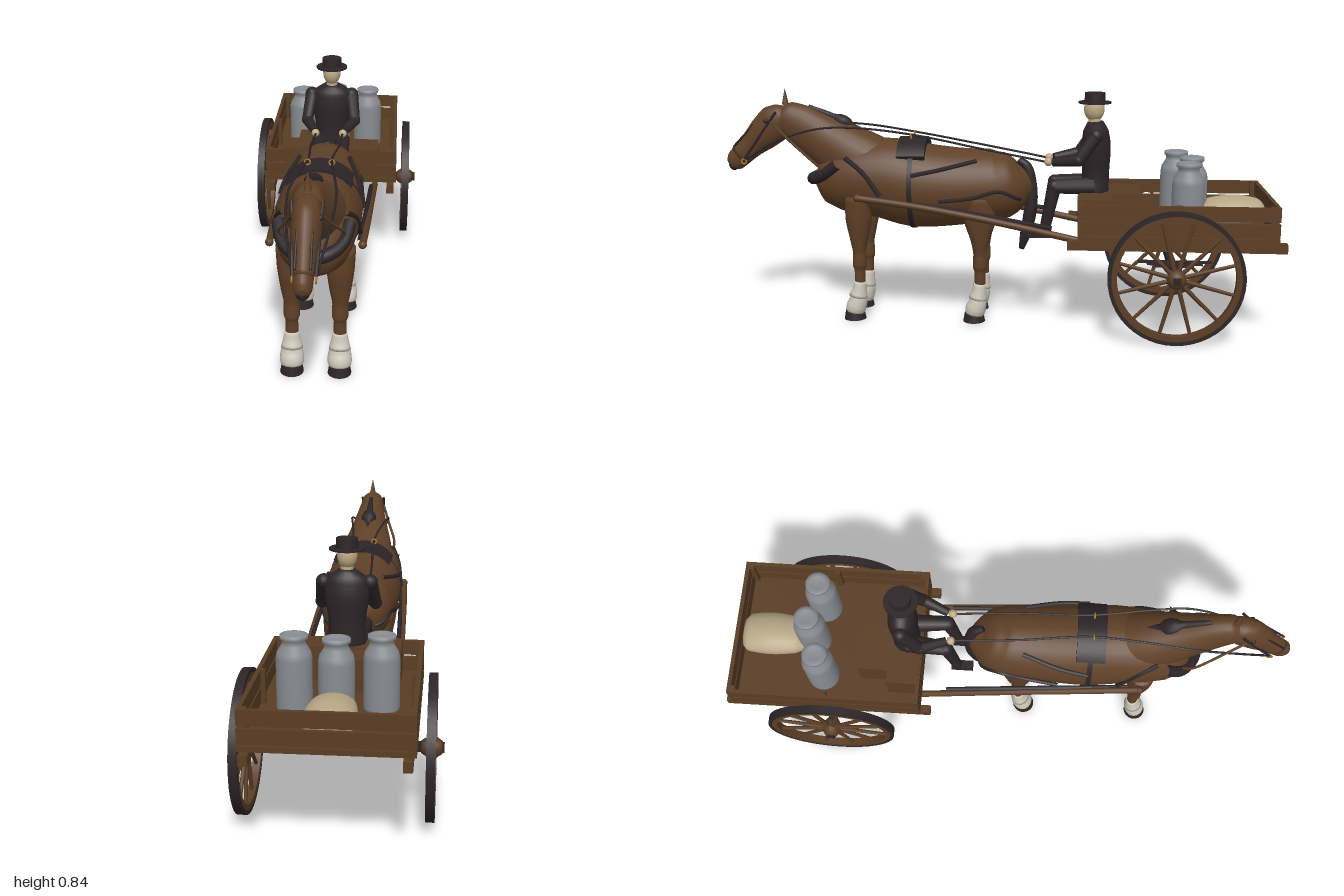
import * as THREE from 'three';

export function createModel() {
  const root = new THREE.Group();
  root.name = 'horseAndCart';
  const mat = (name, color) => Object.assign(new THREE.MeshStandardMaterial({ color }), { name });
  const coat = mat('brown coat', 0x5f4027), wood = mat('cart wood', 0x5a3d24), dark = mat('dark leather', 0x2c2527),
    white = mat('white sock', 0xcbc6b8), metal = mat('grey metal', 0x888c91), sackMat = mat('sackcloth', 0xb5a684),
    skin = mat('skin', 0xbfa985), brass = mat('brass', 0xa87a35);
  const leather = mat('double sided leather', 0x2c2527);
  leather.side = THREE.DoubleSide;
  const V = (x, y, z) => new THREE.Vector3(x, y, z);
  const group = (name) => { const g = new THREE.Group(); g.name = name; root.add(g); return g; };
  const add = (parent, name, geo, m, x = 0, y = 0, z = 0) => {
    const o = new THREE.Mesh(geo, m);
    o.name = name; o.position.set(x, y, z); parent.add(o);
    return o;
  };
  const box = (p, n, m, w, h, d, x, y, z) => add(p, n, new THREE.BoxGeometry(w, h, d), m, x, y, z);
  const tube = (p, n, m, pts, r, sides = 6) => add(p, n,
    new THREE.TubeGeometry(new THREE.CatmullRomCurve3(pts.map((q) => V(...q))), pts.length * 7, r, sides), m);
  // tapered round bar from a to b
  const bar = (p, n, m, a, b, r1, r2 = r1, sides = 10) => {
    const A = V(...a), B = V(...b), d = B.clone().sub(A);
    const o = add(p, n, new THREE.CylinderGeometry(r2, r1, d.length(), sides), m);
    o.position.copy(A).lerp(B, 0.5);
    o.quaternion.setFromUnitVectors(V(0, 1, 0), d.normalize());
    return o;
  };
  // smooth elliptical loft in the yz plane; rows are [z, y, half width, half depth]
  const loft = (rows, steps = 4, sides = 24) => {
    const path = new THREE.CatmullRomCurve3(rows.map((r) => V(0, r[1], r[0])));
    const size = new THREE.CatmullRomCurve3(rows.map((r) => V(r[2], r[3], 0)));
    const n = (rows.length - 1) * steps, pos = [], idx = [];
    for (let i = 0; i <= n; i++) {
      const c = path.getPoint(i / n), s = size.getPoint(i / n), t = path.getTangent(i / n);
      for (let j = 0; j < sides; j++) {
        const a = j / sides * Math.PI * 2, u = Math.sin(a) * Math.max(s.y, 0.002);
        pos.push(Math.cos(a) * Math.max(s.x, 0.002), c.y + t.z * u, c.z - t.y * u);
        if (i < n) {
          const k = i * sides + j, l = i * sides + (j + 1) % sides;
          idx.push(k, l, k + sides, l, l + sides, k + sides);
        }
      }
    }
    [0, n].forEach((i, e) => {
      const c = path.getPoint(i / n), q = pos.length / 3;
      pos.push(0, c.y, c.z);
      for (let j = 0; j < sides; j++) {
        const k = i * sides + j, l = i * sides + (j + 1) % sides;
        idx.push(q, ...(e ? [k, l] : [l, k]));
      }
    });
    const g = new THREE.BufferGeometry();
    g.setAttribute('position', new THREE.Float32BufferAttribute(pos, 3));
    g.setIndex(idx);
    g.computeVertexNormals();
    return g;
  };

  // Horse body, neck and head
  const horse = group('horse');
  add(horse, 'body', loft([[-0.105, 0.54, 0.02, 0.02], [-0.092, 0.53, 0.06, 0.065], [-0.06, 0.515, 0.1, 0.103],
    [0, 0.495, 0.125, 0.13], [0.1, 0.487, 0.132, 0.137], [0.2, 0.485, 0.14, 0.147], [0.3, 0.49, 0.143, 0.155],
    [0.4, 0.51, 0.138, 0.15], [0.5, 0.515, 0.13, 0.135], [0.58, 0.508, 0.115, 0.118], [0.64, 0.5, 0.078, 0.08],
    [0.668, 0.497, 0.02, 0.02]], 4, 32), coat);
  add(horse, 'neck', loft([[0.42, 0.53, 0.11, 0.12], [0.53, 0.59, 0.098, 0.112], [0.64, 0.655, 0.072, 0.09],
    [0.72, 0.702, 0.054, 0.078], [0.78, 0.735, 0.044, 0.06], [0.805, 0.75, 0.02, 0.025]]), coat);
  add(horse, 'head', loft([[0.765, 0.755, 0.02, 0.025], [0.782, 0.74, 0.04, 0.05], [0.815, 0.71, 0.045, 0.068],
    [0.86, 0.67, 0.042, 0.061], [0.91, 0.625, 0.033, 0.046], [0.95, 0.588, 0.03, 0.041]]), coat);
  add(horse, 'muzzle', loft([[0.945, 0.592, 0.03, 0.041], [0.97, 0.569, 0.028, 0.037], [0.986, 0.557, 0.02, 0.024],
    [0.992, 0.553, 0.005, 0.006]]), coat);
  add(horse, 'noseTip', new THREE.SphereGeometry(0.022, 14, 10), dark, 0, 0.562, 0.976).scale.set(1, 1.3, 0.9);
  add(horse, 'ear', new THREE.ConeGeometry(0.013, 0.06, 10), coat, 0, 0.808, 0.775);
  add(horse, 'mane', loft([[0.46, 0.672, 0.004, 0.006], [0.53, 0.7, 0.013, 0.012], [0.6, 0.735, 0.013, 0.012],
    [0.69, 0.771, 0.008, 0.008]], 4, 10), dark);
  add(horse, 'tail', loft([[-0.075, 0.585, 0.012, 0.012], [-0.105, 0.56, 0.02, 0.018], [-0.122, 0.48, 0.027, 0.021],
    [-0.118, 0.4, 0.03, 0.024], [-0.1, 0.31, 0.023, 0.02], [-0.086, 0.255, 0.009, 0.01]], 5, 14), dark);
  for (const s of [-1, 1]) {
    add(horse, 'eye', new THREE.SphereGeometry(0.01, 10, 8), dark, s * 0.039, 0.722, 0.838);
    // Front pair (z 0.5) and hind pair (z 0.06)
    for (const z of [0.5, 0.06]) {
      const leg = new THREE.Group();
      leg.name = z > 0.3 ? 'frontLeg' : 'hindLeg';
      leg.position.set(s * 0.08, 0, z);
      horse.add(leg);
      const thigh = z > 0.3 ? 0.048 : 0.058;
      add(leg, 'upperLeg', loft([[0, 0.46, 0.05, thigh], [0, 0.38, 0.046, thigh], [0, 0.3, 0.035, 0.033],
        [0, 0.25, 0.026, 0.024], [0, 0.235, 0.027, 0.025], [0, 0.205, 0.027, 0.026], [0, 0.185, 0.021, 0.02],
        [0, 0.125, 0.022, 0.019]], 4, 16), coat);
      add(leg, 'sock', loft([[0, 0.142, 0.024, 0.022], [0.003, 0.112, 0.03, 0.026], [0.008, 0.085, 0.037, 0.034]], 3, 16), white);
      add(leg, 'fetlock', loft([[0.006, 0.088, 0.034, 0.03], [0.01, 0.065, 0.039, 0.034], [0.017, 0.045, 0.041, 0.037],
        [0.02, 0.027, 0.037, 0.034]], 3, 16), white);
      add(leg, 'hoof', new THREE.CylinderGeometry(0.034, 0.04, 0.032, 18), dark, 0, 0.016, 0.022);
    }
  }

  // Harness: saddle pad, girth, breast collar, straps and reins
  const harness = group('harness');
  const arc = new THREE.Shape();
  arc.absellipse(0, 0, 0.152, 0.174, 0.75, Math.PI - 0.75, false);
  arc.absellipse(0, 0, 0.138, 0.15, Math.PI - 0.75, 0.75, true);
  add(harness, 'saddle', new THREE.ExtrudeGeometry(arc, { depth: 0.1, bevelEnabled: false, curveSegments: 16 }), dark, 0, 0.492, 0.255);
  const girth = add(harness, 'girth', new THREE.CylinderGeometry(1, 1, 0.018, 40, 1, true).rotateX(Math.PI / 2), leather, 0, 0.491, 0.305);
  girth.scale.set(0.148, 0.16, 1);
  add(harness, 'breastCollar', new THREE.TubeGeometry(new THREE.CatmullRomCurve3([V(-0.112, 0.58, 0.565), V(-0.092, 0.535, 0.625),
    V(-0.05, 0.515, 0.665), V(0, 0.51, 0.68), V(0.05, 0.515, 0.665), V(0.092, 0.535, 0.625), V(0.112, 0.58, 0.565)]), 36, 0.021, 10), dark);
  for (const s of [-1, 1]) {
    tube(harness, 'rein', dark, [[s * 0.05, 0.588, -0.17], [s * 0.05, 0.63, 0.05], [s * 0.04, 0.677, 0.3], [s * 0.06, 0.702, 0.5],
      [s * 0.074, 0.7, 0.64], [s * 0.06, 0.65, 0.8], [s * 0.034, 0.58, 0.92]], 0.004);
    tube(harness, 'sideRein', coat, [[s * 0.044, 0.72, 0.82], [s * 0.07, 0.66, 0.75], [s * 0.1, 0.59, 0.66], [s * 0.092, 0.56, 0.63]], 0.005);
    tube(harness, 'breechingStrap', dark, [[s * 0.146, 0.455, 0.2], [s * 0.134, 0.468, 0.08], [s * 0.124, 0.49, -0.01],
      [s * 0.09, 0.46, -0.075], [s * 0.03, 0.45, -0.09]], 0.007);
    tube(harness, 'hipStrap', dark, [[s * 0.136, 0.545, 0.3], [s * 0.124, 0.565, 0.2], [s * 0.088, 0.594, 0.07]], 0.008);
    tube(harness, 'collarStrap', dark, [[s * 0.1, 0.6, 0.54], [s * 0.127, 0.55, 0.47], [s * 0.14, 0.47, 0.41]], 0.009);
    tube(harness, 'trace', dark, [[s * 0.138, 0.455, 0.45], [s * 0.15, 0.435, 0.2], [s * 0.16, 0.37, -0.2]], 0.008);
    bar(harness, 'bridleCheek', dark, [s * 0.045, 0.755, 0.8], [s * 0.034, 0.582, 0.925], 0.005);
    bar(harness, 'bridleFace', dark, [s * 0.022, 0.745, 0.852], [s * 0.022, 0.625, 0.967], 0.004);
    add(harness, 'bitRing', new THREE.TorusGeometry(0.009, 0.003, 6, 14).rotateY(Math.PI / 2), brass, s * 0.034, 0.572, 0.928);
    add(harness, 'reinRing', new THREE.TorusGeometry(0.009, 0.003, 6, 14), brass, s * 0.04, 0.672, 0.31);
    // Cart shafts running along the horse
    tube(harness, 'shaft', wood, [[s * 0.15, 0.465, 0.49], [s * 0.158, 0.442, 0.3], [s * 0.165, 0.395, 0.02], [s * 0.172, 0.325, -0.32]], 0.012, 10);
    add(harness, 'shaftTip', new THREE.SphereGeometry(0.014, 12, 8), wood, s * 0.15, 0.465, 0.49);
  }

  // Cart bed with slatted sides
  const cart = group('cart');
  box(cart, 'floor', wood, 0.51, 0.018, 0.68, 0, 0.355, -0.63);
  for (const y of [0.392, 0.449]) {
    for (const s of [-1, 1]) box(cart, 'sideSlat', wood, 0.014, 0.049, 0.68, s * 0.247, y, -0.63);
    for (const z of [-0.297, -0.963]) box(cart, 'endSlat', wood, 0.496, 0.049, 0.014, 0, y, z);
  }
  for (const s of [-1, 1]) {
    box(cart, 'bedRail', wood, 0.028, 0.032, 0.745, s * 0.232, 0.33, -0.627);
    for (const z of [-0.31, -0.63, -0.95]) box(cart, 'post', wood, 0.016, 0.115, 0.02, s * 0.234, 0.416, z);
    for (let i = 0; i < 3; i++) box(cart, 'springLeaf', dark, 0.024, 0.005, 0.25 - i * 0.06, s * 0.21, 0.271 - i * 0.008, -0.625);
  }
  box(cart, 'seatBox', wood, 0.365, 0.115, 0.115, 0, 0.421, -0.352);
  box(cart, 'crate', wood, 0.16, 0.11, 0.11, -0.055, 0.418, -0.46);
  box(cart, 'axle', dark, 0.666, 0.026, 0.026, 0.002, 0.232, -0.625);

  // Wheels: dark tyre, wooden rim, hub and twelve spokes
  const ring = (outer, inner, w) => new THREE.LatheGeometry([[inner, -w], [outer, -w], [outer, -w], [outer, w], [outer, w], [inner, w],
    [inner, w], [inner, -w]].map((p) => new THREE.Vector2(...p)), 48).rotateZ(Math.PI / 2);
  for (const s of [-1, 1]) {
    const wheel = new THREE.Group();
    wheel.name = 'wheel';
    wheel.position.set(s * 0.292, 0.232, -0.625);
    cart.add(wheel);
    add(wheel, 'tyre', ring(0.232, 0.219, 0.014), dark);
    add(wheel, 'rim', ring(0.22, 0.2, 0.0135), wood);
    add(wheel, 'hub', new THREE.LatheGeometry([[0, -0.033], [0.02, -0.033], [0.033, -0.014], [0.033, 0.014], [0.02, 0.033], [0, 0.033]]
      .map((p) => new THREE.Vector2(...p)), 20).rotateZ(Math.PI / 2), wood);
    for (let i = 0; i < 12; i++) {
      const a = (i + 0.5) * Math.PI / 6, c = Math.cos(a), d = Math.sin(a);
      bar(wheel, 'spoke', wood, [0, c * 0.025, d * 0.025], [0, c * 0.205, d * 0.205], 0.008, 0.006, 8);
    }
  }

  // Load: three milk cans and a sack
  const load = group('load');
  const can = new THREE.LatheGeometry([[0, 0], [0.054, 0], [0.056, 0.01], [0.056, 0.165], [0.052, 0.185], [0.038, 0.208], [0.036, 0.222],
    [0.043, 0.226], [0.043, 0.238], [0.028, 0.242], [0.026, 0.236], [0, 0.236]].map((p) => new THREE.Vector2(...p)), 24);
  for (const [x, z] of [[-0.135, -0.65], [-0.002, -0.695], [0.13, -0.67]]) add(load, 'milkCan', can, metal, x, 0.364, z);
  add(load, 'sack', loft([[-0.95, 0.41, 0.055, 0.025], [-0.93, 0.412, 0.072, 0.042], [-0.85, 0.415, 0.08, 0.052],
    [-0.76, 0.412, 0.07, 0.042], [-0.72, 0.41, 0.05, 0.02]], 4, 20), sackMat);

  // Driver
  const driver = group('driver');
  add(driver, 'torso', loft([[-0.35, 0.47, 0.064, 0.05], [-0.352, 0.54, 0.06, 0.048], [-0.352, 0.64, 0.074, 0.052],
    [-0.35, 0.695, 0.072, 0.045], [-0.348, 0.727, 0.03, 0.028]], 4, 20), dark);
  add(driver, 'neck', new THREE.CylinderGeometry(0.02, 0.022, 0.04, 12), skin, 0, 0.735, -0.345);
  add(driver, 'head', new THREE.SphereGeometry(0.037, 18, 14), skin, 0, 0.772, -0.343).scale.set(0.9, 1.2, 1);
  add(driver, 'hatBrim', new THREE.CylinderGeometry(0.058, 0.058, 0.006, 28), dark, 0, 0.795, -0.345);
  add(driver, 'hatCrown', new THREE.CylinderGeometry(0.036, 0.037, 0.036, 24), dark, 0, 0.812, -0.345);
  for (const s of [-1, 1]) {
    const ball = (n, m, r, x, y, z) => add(driver, n, new THREE.SphereGeometry(r, 12, 10), m, s * x, y, z);
    ball('shoulder', dark, 0.026, 0.076, 0.685, -0.35);
    bar(driver, 'upperArm', dark, [s * 0.076, 0.685, -0.35], [s * 0.09, 0.6, -0.29], 0.025, 0.021);
    ball('elbow', dark, 0.022, 0.09, 0.6, -0.29);
    bar(driver, 'forearm', dark, [s * 0.09, 0.6, -0.29], [s * 0.054, 0.587, -0.2], 0.021, 0.015);
    ball('hand', skin, 0.015, 0.051, 0.587, -0.183);
    bar(driver, 'thigh', dark, [s * 0.038, 0.5, -0.345], [s * 0.048, 0.498, -0.205], 0.033, 0.026);
    ball('knee', dark, 0.026, 0.048, 0.498, -0.205);
    bar(driver, 'shin', dark, [s * 0.048, 0.498, -0.205], [s * 0.048, 0.33, -0.17], 0.025, 0.018);
    box(driver, 'shoe', dark, 0.032, 0.022, 0.08, s * 0.048, 0.322, -0.152);
  }
  for (const g of root.children) g.position.x = -0.008;
  return root;
}
